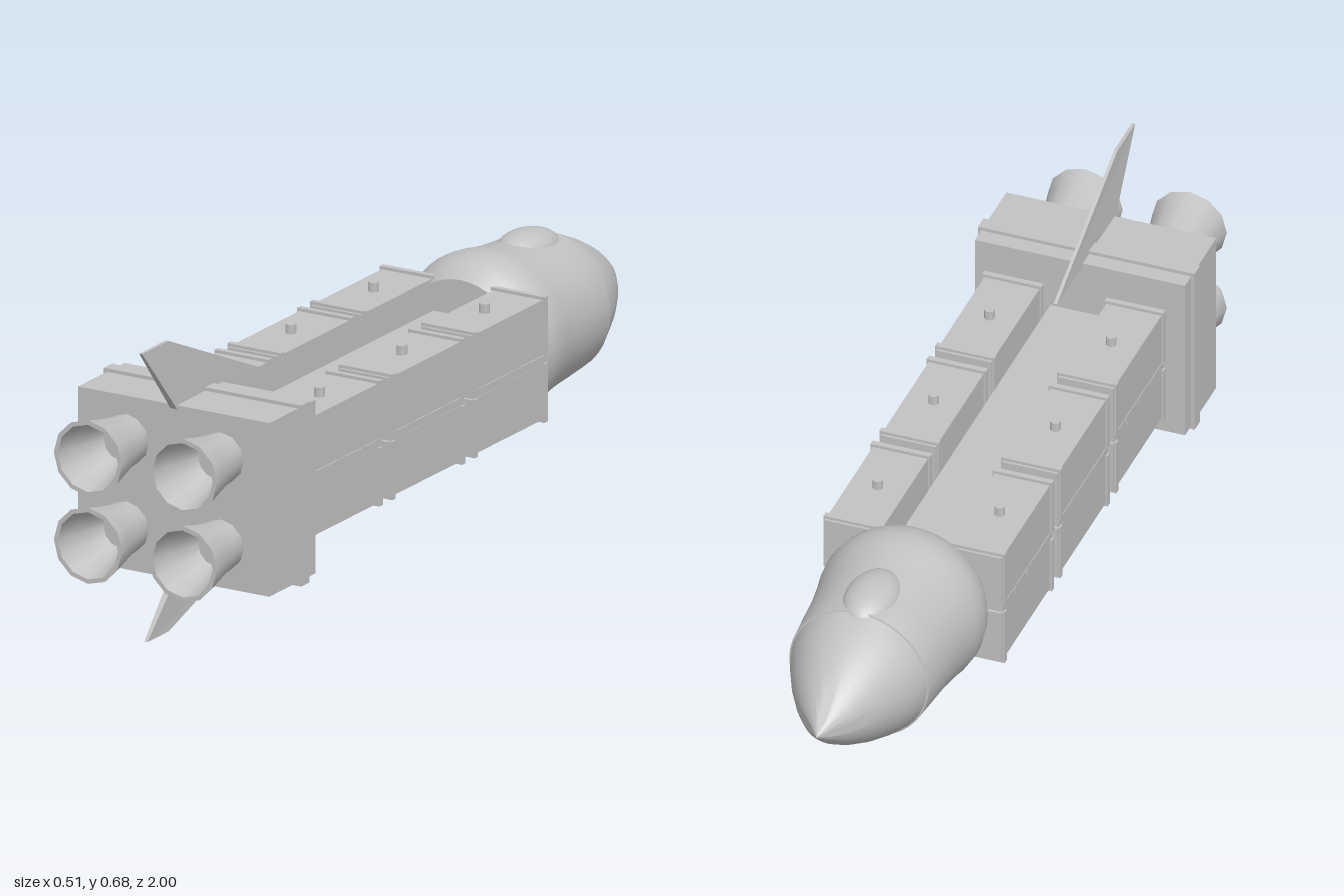
import * as THREE from 'three';
import { toCreasedNormals } from 'three/addons/utils/BufferGeometryUtils.js';

const hull = new THREE.MeshStandardMaterial({ color: 0xc2c2c2 });
hull.name = 'hull grey';
const MID = 0.319; // height of the long axis

export function createModel() {
  const ship = new THREE.Group();
  ship.name = 'rocket';

  const add = (name, geometry, x = 0, y = 0, z = 0, parent = ship) => {
    const mesh = new THREE.Mesh(geometry, hull);
    mesh.name = name;
    mesh.position.set(x, y, z);
    parent.add(mesh);
    return mesh;
  };

  // Box given by its extents on each axis
  const block = (name, x0, x1, y0, y1, z0, z1, parent) =>
    add(name, new THREE.BoxGeometry(x1 - x0, y1 - y0, z1 - z0),
      (x0 + x1) / 2, (y0 + y1) / 2, (z0 + z1) / 2, parent);

  // Turned shape along z from [radius, z] pairs
  const turned = (profile, sides, crease) => {
    const g = new THREE.LatheGeometry(profile.map(([r, z]) => new THREE.Vector2(r, z)), sides);
    g.rotateX(Math.PI / 2);
    return toCreasedNormals(g, crease);
  };

  // Crew capsule: pointed nose, small step at the seam, bulging collar
  add('noseCone', turned([
    [0, -1], [0.026, -0.972], [0.062, -0.93], [0.096, -0.88], [0.126, -0.825],
    [0.148, -0.775], [0.161, -0.736], [0.165, -0.735], [0.171, -0.66], [0.177, -0.58],
    [0.184, -0.53], [0.191, -0.495], [0.194, -0.46], [0.187, -0.425],
    [0.172, -0.395], [0.152, -0.37], [0, -0.37],
  ], 40, 0.6), 0, MID, 0);

  // Canopy blister on top of the capsule
  const canopy = add('canopy', new THREE.SphereGeometry(1, 24, 16), 0, 0.468, -0.655);
  canopy.scale.set(0.062, 0.043, 0.097);
  canopy.rotation.x = -0.06;

  // Central spine
  block('spine', -0.07, 0.07, 0.25, 0.388, -0.39, 0.66);

  // Cargo pods: three per side, split in an upper and a lower half
  const podStarts = [-0.398, -0.05, 0.298];
  const podLength = 0.32;
  for (const side of [1, -1]) {
    const cx = side * 0.144;
    for (const z0 of podStarts) {
      const pod = new THREE.Group();
      pod.name = 'cargoPod';
      ship.add(pod);
      const z1 = z0 + podLength;
      const slab = (name, half, y0, y1, a, b) =>
        block(name, cx - half, cx + half, y0, y1, a, b, pod);

      slab('podCore', 0.056, 0.3, 0.34, z0 + 0.008, z1 - 0.008);
      for (const [y0, y1] of [[0.18, 0.309], [0.329, 0.458]]) {
        slab('podHalf', 0.065, y0, y1, z0, z1);
        // Raised hoops just inside both ends
        const low = y0 < 0.3 ? y0 - 0.007 : y0;
        const high = y0 < 0.3 ? y1 : y1 + 0.007;
        slab('podHoop', 0.07, low, high, z0 + 0.006, z0 + 0.02);
        slab('podHoop', 0.07, low, high, z1 - 0.02, z1 - 0.006);
      }
      // Row of latches along the split
      for (let i = 0; i < 4; i++) {
        const a = z0 + 0.006 + i * 0.078;
        slab('podLatch', 0.066, 0.31, 0.328, a, a + 0.073);
      }
      // Round fitting on the roof
      add('podValve', toCreasedNormals(new THREE.CylinderGeometry(0.012, 0.012, 0.03, 12), 0.6),
        cx, 0.465, (z0 + z1) / 2, pod);
    }
  }

  // Engine block with a raised band
  block('engineBlock', -0.248, 0.248, 0.115, 0.519, 0.643, 0.838);
  block('engineBand', -0.256, 0.256, 0.106, 0.527, 0.682, 0.717);

  // Four flared nozzles, hollow at the rear
  const nozzle = turned([
    [0.058, 0.835], [0.061, 0.87], [0.068, 0.91], [0.078, 0.955], [0.0885, 1],
    [0.078, 1], [0.067, 0.955], [0.056, 0.91], [0.042, 0.865], [0, 0.865],
  ], 12, 0.6);
  for (const x of [-0.123, 0.123]) {
    for (const y of [0.215, 0.418]) add('nozzle', nozzle, x, y, 0);
  }

  // Swept fins: a box whose corners move to [z, y, half thickness]
  const fin = (name, tipRear, tipFront, rootFront, rootRear) => {
    const g = new THREE.BoxGeometry(2, 2, 2);
    const p = g.attributes.position;
    const up = tipRear[1] > rootRear[1];
    for (let i = 0; i < p.count; i++) {
      const atTip = (p.getY(i) > 0) === up;
      const rear = p.getZ(i) > 0;
      const [z, y, t] = atTip ? (rear ? tipRear : tipFront) : (rear ? rootRear : rootFront);
      p.setXYZ(i, Math.sign(p.getX(i)) * t, y, z);
    }
    const flat = g.toNonIndexed();
    flat.computeVertexNormals();
    add(name, flat);
  };
  fin('topFin', [0.977, 0.676, 0.004], [0.866, 0.676, 0.004],
    [0.488, 0.51, 0.004], [0.838, 0.51, 0.009]);
  fin('bottomFin', [0.955, 0, 0.004], [0.866, 0, 0.004],
    [0.488, 0.124, 0.004], [0.838, 0.124, 0.009]);

  return ship;
}
